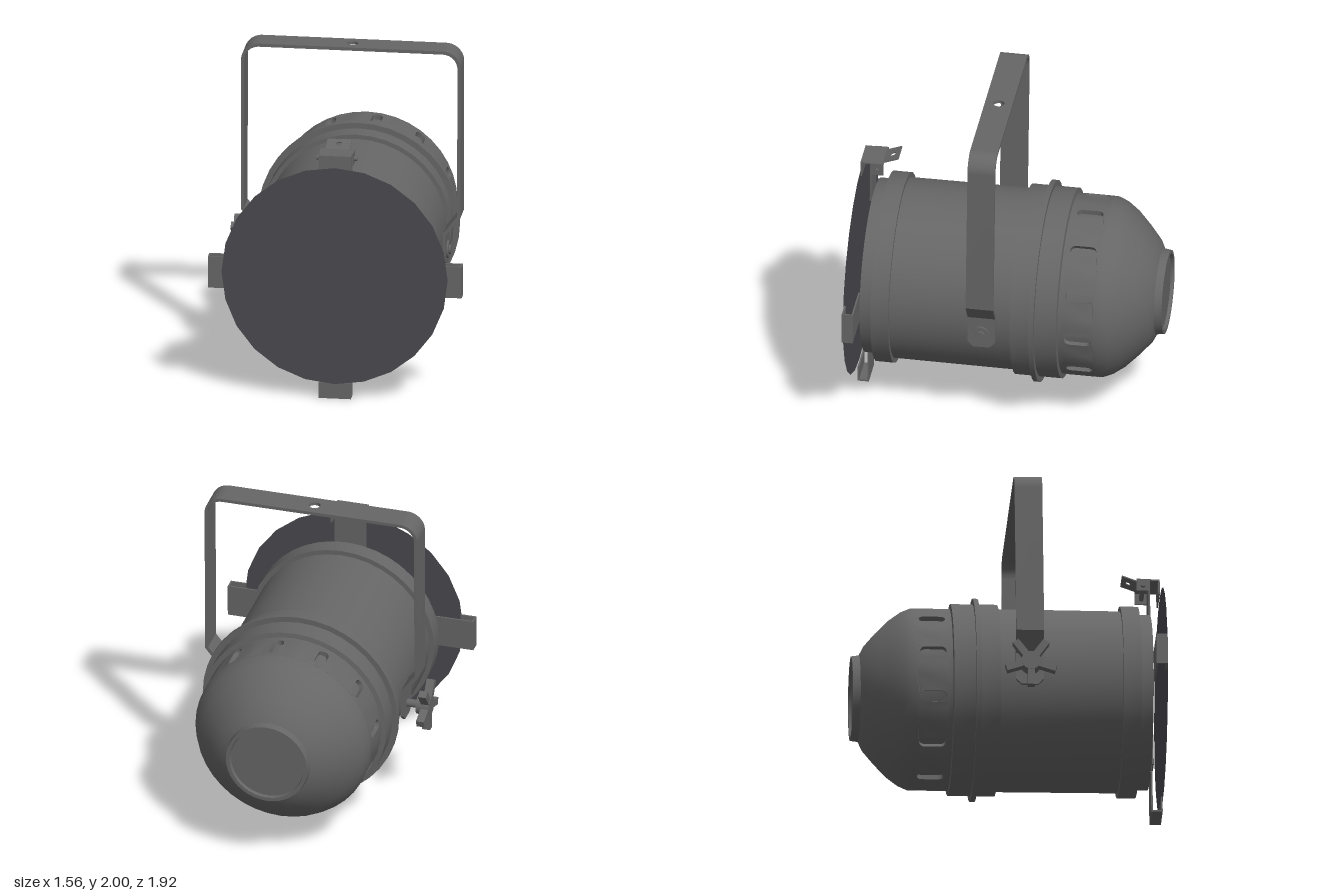
import * as THREE from 'three';
import { mergeGeometries, toCreasedNormals } from 'three/addons/utils/BufferGeometryUtils.js';

const metal = new THREE.MeshStandardMaterial({ color: 0x666666, side: THREE.DoubleSide });
const gel = new THREE.MeshStandardMaterial({ color: 0x48484e, side: THREE.DoubleSide });

function add(parent, name, geo, x = 0, y = 0, z = 0, mat = metal) {
  const mesh = new THREE.Mesh(geo, mat);
  mesh.name = name;
  mesh.position.set(x, y, z);
  parent.add(mesh);
  return mesh;
}

function group(parent, name) {
  const g = new THREE.Group();
  g.name = name;
  parent.add(g);
  return g;
}

const box = (w, h, d) => new THREE.BoxGeometry(w, h, d);
const polygon = pts => new THREE.Shape(pts.map(p => new THREE.Vector2(...p)));
const extrude = (shape, depth, curveSegments = 8) =>
  new THREE.ExtrudeGeometry(shape, { depth, bevelEnabled: false, curveSegments });

// Profile points are [radius, z], turned around the z axis
function turned(profile) {
  const geo = new THREE.LatheGeometry(profile.map(p => new THREE.Vector2(...p)), 40);
  return toCreasedNormals(geo.rotateX(Math.PI / 2), 0.5);
}

// Flat panels, each with a slot, bent into a ring
function slottedBand() {
  const R = 0.555, depth = 0.03, count = 12, z0 = -0.575, z1 = -0.385, steps = 4;
  const half = Math.PI / count * R;
  const panels = [];
  for (let k = 0; k < count; k++) {
    const edge = [];
    for (let i = 0; i <= steps; i++) edge.push([-half + 2 * half * i / steps, z0]);
    for (let i = steps; i >= 0; i--) edge.push([-half + 2 * half * i / steps, z1]);
    const shape = polygon(edge);
    const slot = new THREE.Path();
    slot.absarc(0, -0.432, 0.033, 0, Math.PI, false);
    slot.absarc(0, -0.528, 0.033, Math.PI, 2 * Math.PI, false);
    slot.closePath();
    shape.holes.push(slot);
    const geo = extrude(shape, depth, 5);
    const p = geo.attributes.position;
    const start = THREE.MathUtils.degToRad(22.5 + 30 * k);
    for (let i = 0; i < p.count; i++) {
      const a = start + p.getX(i) / R, r = R - depth + p.getZ(i);
      p.setXYZ(i, r * Math.cos(a), r * Math.sin(a), p.getY(i));
    }
    panels.push(geo);
  }
  return toCreasedNormals(mergeGeometries(panels), 0.5);
}

function buildHousing(parent) {
  const g = group(parent, 'housing');
  add(g, 'barrel', turned([
    [0.525, -0.39], [0.555, -0.39], [0.555, -0.36], [0.585, -0.355], [0.585, -0.22], [0.62, -0.22],
    [0.62, -0.19], [0.585, -0.19], [0.585, -0.07], [0.558, -0.07], [0.555, 0.68],
    [0.585, 0.68], [0.585, 0.79], [0.537, 0.79], [0.535, 0.865], [0.515, 0.865], [0.515, 0.8], [0, 0.8],
  ]));
  add(g, 'ventBand', slottedBand());
  add(g, 'ventLiner', turned([[0.524, -0.58], [0.524, -0.38]]));
  add(g, 'rearDome', turned([
    [0.25, -0.915], [0.32, -0.88], [0.40, -0.81], [0.48, -0.73], [0.53, -0.66], [0.555, -0.6], [0.555, -0.57],
  ]));
  add(g, 'rearCap', turned([
    [0, -0.935], [0.23, -0.935], [0.235, -0.955], [0.258, -0.955], [0.265, -0.9],
  ]));
}

// U-shaped bracket with cranked ends
function buildYoke(parent) {
  const g = group(parent, 'yoke');
  const t = 0.02, w = 0.17, top = 1.233, outer = 0.675, r = 0.11, z = 0.105;
  const bar = polygon([[-outer + r, -w / 2], [outer - r, -w / 2], [outer - r, w / 2], [-outer + r, w / 2]]);
  bar.holes.push(new THREE.Path().absarc(0, 0, 0.035, 0, Math.PI * 2, true));
  add(g, 'topBar', extrude(bar, t, 10).rotateX(-Math.PI / 2), 0, top - t, z);

  const leg = new THREE.Shape();
  leg.moveTo(0.585, 0.05);
  leg.lineTo(outer, 0.165);
  leg.absarc(outer - r, top - r, r, 0, Math.PI / 2, false);
  leg.absarc(outer - r, top - r, r - t, Math.PI / 2, 0, true);
  leg.lineTo(outer - t, 0.173);
  leg.lineTo(0.565, 0.058);
  const legGeo = toCreasedNormals(extrude(leg, w), 0.5).translate(0, 0, z - w / 2);
  const c = 0.035, h = w / 2;
  const tab = polygon([[-h, 0.06], [-h, -0.155 + c], [-h + c, -0.155], [h - c, -0.155], [h, -0.155 + c], [h, 0.06]]);
  const tabGeo = extrude(tab, t).rotateY(Math.PI / 2).translate(0.565, 0, z);
  for (const turn of [0, Math.PI]) {
    const side = group(g, turn ? 'rightLeg' : 'leftLeg');
    // Half turn about the vertical line through the bracket's centre
    side.rotation.y = turn;
    side.position.z = turn ? 2 * z : 0;
    add(side, 'leg', legGeo);
    add(side, 'pivotTab', tabGeo);
  }

  // Pivot bolt on the left side
  const disc = (rad, len, n = 20) => new THREE.CylinderGeometry(rad, rad, len, n).rotateZ(Math.PI / 2);
  add(g, 'washer', disc(0.055, 0.012), 0.59, -0.065, 0.11);
  add(g, 'boltHead', disc(0.028, 0.024), 0.596, -0.065, 0.11);

  // Five-armed clamping knob on the right side
  const knob = group(g, 'clampKnob');
  knob.position.set(-0.7, -0.065, 0.105);
  add(knob, 'boltShaft', disc(0.025, 0.16), 0.06);
  add(knob, 'hub', disc(0.06, 0.085), 0.005);
  for (let i = 0; i < 5; i++) {
    const arm = group(knob, 'arm');
    arm.rotation.x = i * Math.PI * 2 / 5;
    add(arm, 'armBlade', box(0.05, 0.12, 0.045), -0.01, -0.1, 0);
  }
}

// Hooked clips that hold the front filter
function buildClips(parent) {
  const g = group(parent, 'filterClips');
  g.position.y = 0.005;
  const tip = 0.78, back = 0.872, front = 0.932, t = 0.01, w = 0.2;
  for (let i = 0; i < 4; i++) {
    const clip = group(g, ['topClip', 'rightClip', 'bottomClip', 'leftClip'][i]);
    clip.rotation.z = i * Math.PI / 2;
    add(clip, 'backPlate', box(w, 0.27, t), 0, tip - 0.135, back);
    add(clip, 'endPlate', box(w, t, front - back + t), 0, tip - t / 2, (front + back) / 2);
    add(clip, 'frontLip', box(w, 0.1, t), 0, tip - 0.05, front);
    if (i > 0) continue;
    // Hinged latch on the top clip
    for (const s of [-1, 1]) add(clip, 'hingeCheek', box(t, 0.08, 0.08), s * 0.1, tip - 0.04, 0.835);
    add(clip, 'hingeTop', box(0.21, t, 0.08), 0, tip - t / 2, 0.835);
    add(clip, 'hingePin', new THREE.CylinderGeometry(0.015, 0.015, 0.25, 10).rotateZ(Math.PI / 2), 0, tip - 0.045, 0.835);
    const flap = polygon([[-0.075, 0], [0.075, 0], [0.075, 0.1], [-0.075, 0.1]]);
    flap.holes.push(new THREE.Path().absarc(0, 0.055, 0.018, 0, Math.PI * 2, true));
    const latch = add(clip, 'latchFlap', extrude(flap, 0.008), 0, tip - 0.008, 0.8);
    latch.rotation.x = -Math.PI / 2 + 0.36;
  }
  // Thin filter sheet
  const filter = add(parent, 'filter', new THREE.CircleGeometry(0.695, 24), 0, 0.015, 0.942, gel);
  filter.rotation.z = 0;
}

export function createModel() {
  const model = new THREE.Group();
  model.name = 'stageLamp';
  const lamp = group(model, 'lamp');
  lamp.position.set(0.02, 0.765, 0);
  lamp.rotation.set(-0.012, -0.022, 0);
  buildHousing(lamp);
  buildYoke(lamp);
  buildClips(lamp);
  return model;
}
